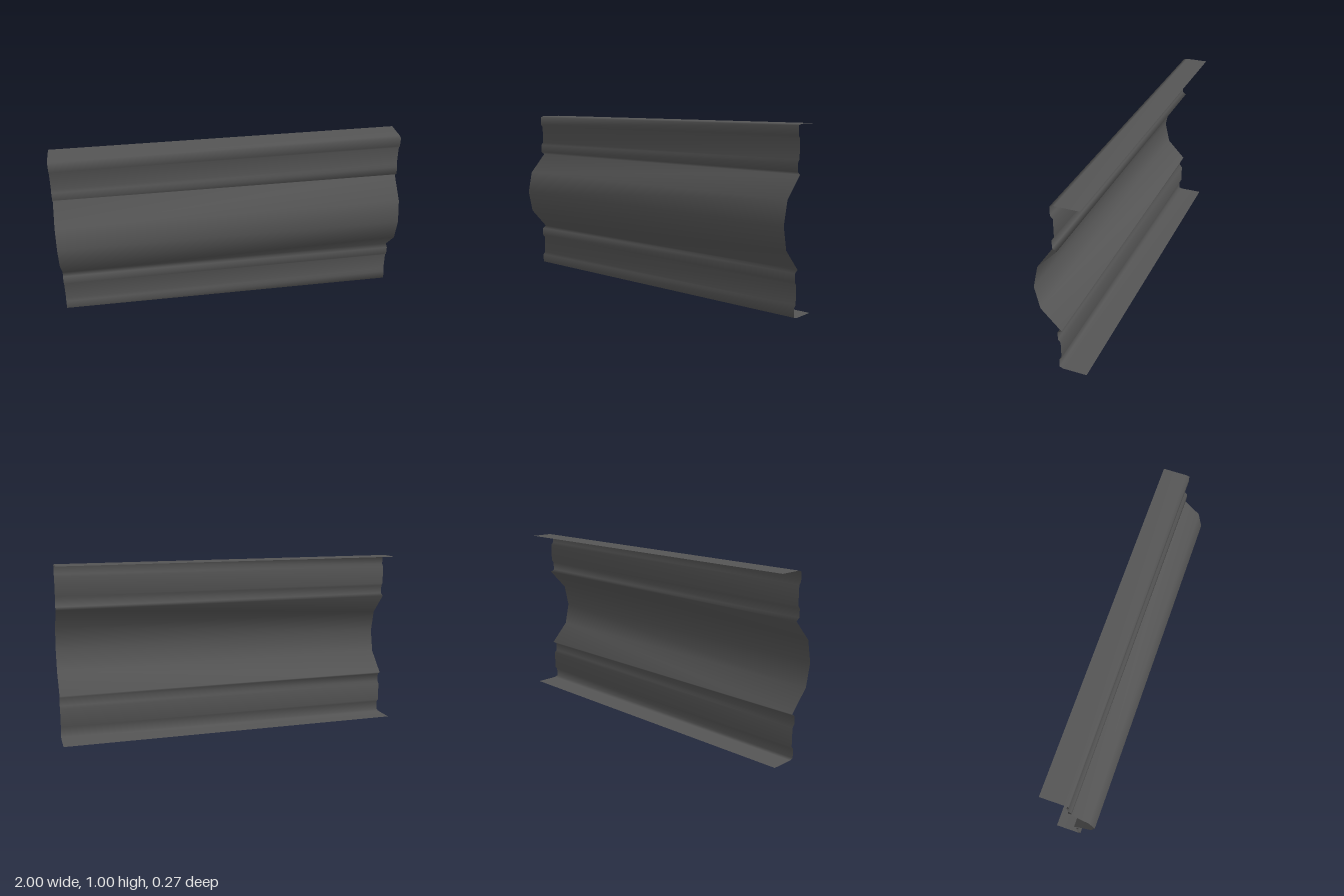
import * as THREE from 'three';

// Upper half of the pressed profile as [z, y], from the flange's back edge to the crest
const upperHalf = [
  [-0.137, 1.0],   // flange edge
  [-0.005, 1.0],   // rounded bend
  [0.017, 0.993],
  [0.017, 0.943],  // outer lip
  [0.003, 0.927],  // recessed band
  [0.003, 0.823],
  [0.017, 0.807],  // inner lip
  [0.017, 0.760],
  [-0.006, 0.745], // crease
  [0.105, 0.628],  // bulge
  [0.133, 0.5],    // crest
];

export function createModel() {
  const group = new THREE.Group();
  group.name = 'ribbedPanel';

  const darkMetal = new THREE.MeshStandardMaterial({ color: 0x555555, side: THREE.DoubleSide });
  darkMetal.name = 'dark grey metal';

  // Mirror the profile about mid height
  const lowerHalf = upperHalf.slice(0, -1).reverse().map(([z, y]) => [z, 1 - y]);
  const profile = [...upperHalf, ...lowerHalf];

  // Bend a plane, one row of vertices for each profile point
  const sheet = new THREE.PlaneGeometry(2, 1, 1, profile.length - 1);
  const pos = sheet.attributes.position;
  for (let i = 0; i < pos.count; i++) {
    const [z, y] = profile[Math.floor(i / 2)];
    pos.setXYZ(i, pos.getX(i), y, z);
  }
  sheet.computeVertexNormals();

  const panel = new THREE.Mesh(sheet, darkMetal);
  panel.name = 'pressedSheet';
  group.add(panel);
  return group;
}
